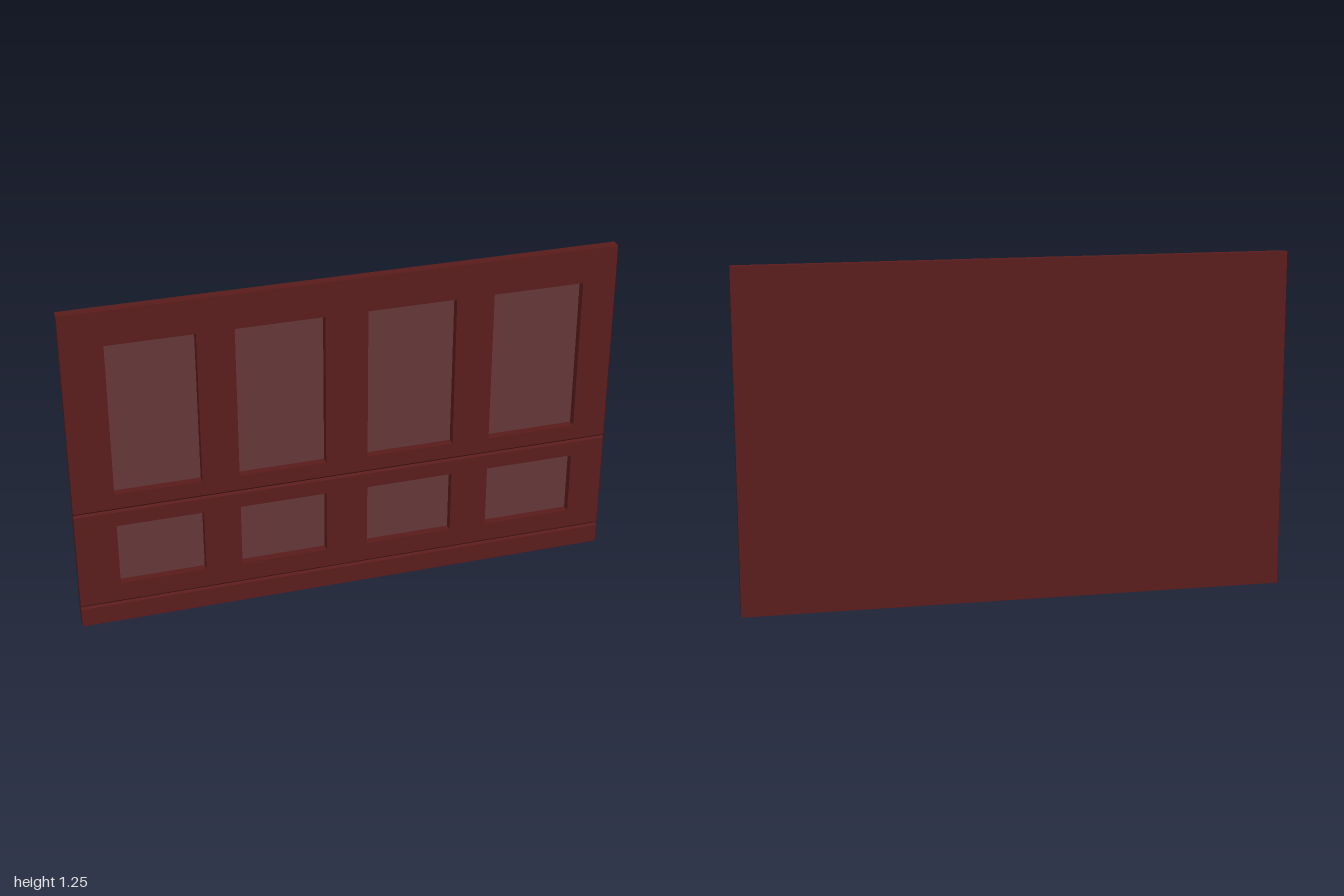
import * as THREE from 'three';

const BACK = -0.0185, FRONT = 0.0185, SHEET = 0.006;
const GROOVE = 0.008, GROOVE_DEPTH = 0.007;
const COLUMNS = [[-0.85, -0.535], [-0.4, -0.08], [0.075, 0.4], [0.54, 0.875]];

export function createModel() {
  const group = new THREE.Group();
  const wood = new THREE.MeshStandardMaterial({ color: 0x5a1c1c });
  const inset = new THREE.MeshStandardMaterial({ color: 0x643838 });

  const add = (name, geometry, material) => {
    const mesh = new THREE.Mesh(geometry, material);
    mesh.name = name;
    group.add(mesh);
    return mesh;
  };

  const rectangle = (path, x0, x1, y0, y1) => {
    path.moveTo(x0, y0);
    path.lineTo(x1, y0);
    path.lineTo(x1, y1);
    path.lineTo(x0, y1);
    path.closePath();
    return path;
  };

  // One horizontal board with panel openings; edges on a groove are bevelled
  const board = (name, y0, y1, opening, grooveBelow, grooveAbove) => {
    const shape = rectangle(new THREE.Shape(), -1, 1, y0, y1);
    if (opening) {
      for (const [x0, x1] of COLUMNS) {
        shape.holes.push(rectangle(new THREE.Path(), x0, x1, ...opening));
      }
    }
    const depth = FRONT - BACK - SHEET;
    const geometry = new THREE.ExtrudeGeometry(shape, { depth, steps: 2, bevelEnabled: false });
    const p = geometry.attributes.position;
    for (let i = 0; i < p.count; i++) {
      const z = p.getZ(i), y = p.getY(i);
      if (z > depth * 0.75) {
        if (grooveBelow && Math.abs(y - y0) < 1e-4) p.setY(i, y0 + GROOVE);
        if (grooveAbove && Math.abs(y - y1) < 1e-4) p.setY(i, y1 - GROOVE);
      } else if (z > depth * 0.25) {
        p.setZ(i, depth - GROOVE_DEPTH);
      }
    }
    geometry.computeVertexNormals();
    add(name, geometry, wood).position.z = BACK + SHEET;

    // Lighter panels at the bottom of the openings
    if (opening) {
      const [a, b] = opening;
      for (const [x0, x1] of COLUMNS) {
        const panel = add(name + 'Panel', new THREE.PlaneGeometry(x1 - x0, b - a), inset);
        panel.position.set((x0 + x1) / 2, (a + b) / 2, BACK + SHEET + 0.001);
      }
    }
  };

  board('skirtingBoard', 0, 0.08, null, false, true);
  board('lowerBoard', 0.08, 0.47, [0.16, 0.405], true, true);
  board('upperBoard', 0.47, 1.25, [0.535, 1.12], true, false);

  // Solid backing sheet
  add('backSheet', new THREE.BoxGeometry(2, 1.25, SHEET), wood)
    .position.set(0, 0.625, BACK + SHEET / 2);

  return group;
}
